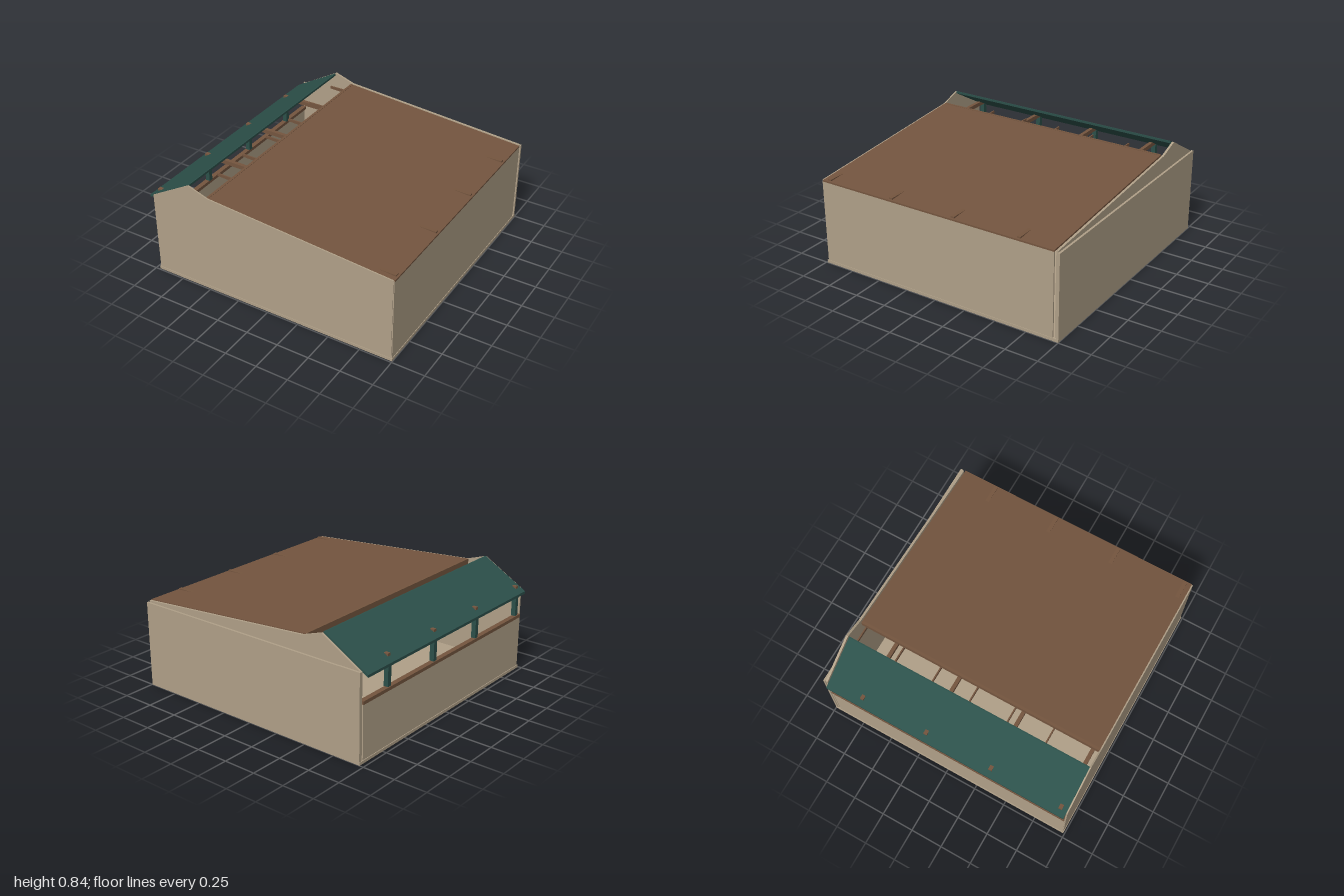
import * as THREE from 'three';

export function createModel() {
  const model = new THREE.Group();
  const paint = (name, color) => {
    const m = new THREE.MeshStandardMaterial({ color });
    m.name = name;
    return m;
  };
  const plaster = paint('plaster', 0xb0a088);
  const timber = paint('brown timber', 0x74553f);
  const teal = paint('teal paint', 0x2c504a);

  const add = (name, geometry, material) => {
    const mesh = new THREE.Mesh(geometry, material);
    mesh.name = name;
    model.add(mesh);
    return mesh;
  };
  // Box given by its lower and upper corner
  const box = (name, material, a, b) => {
    const mesh = add(name, new THREE.BoxGeometry(b[0] - a[0], b[1] - a[1], b[2] - a[2]), material);
    mesh.position.set((a[0] + b[0]) / 2, (a[1] + b[1]) / 2, (a[2] + b[2]) / 2);
  };
  // Cross-section in x and y, drawn out along z
  const slab = (name, material, points, z0, z1) => {
    const shape = new THREE.Shape(points.map(([x, y]) => new THREE.Vector2(x, y)));
    const g = new THREE.ExtrudeGeometry(shape, { depth: z1 - z0, bevelEnabled: false });
    g.translate(0, 0, z0);
    add(name, g, material);
  };

  // Floor and the low and high long walls
  box('floor', plaster, [-0.97, 0, -1], [0.998, 0.022, 0.99]);
  box('rightWall', plaster, [0.983, 0.02, -0.955], [0.994, 0.664, 0.982]);
  box('lowWall', plaster, [-0.965, 0.02, -0.96], [-0.95, 0.425, 0.982]);

  // Gable walls follow both roof slopes
  const gable = [[-0.962, 0.02], [0.987, 0.02], [0.987, 0.672], [-0.48, 0.787], [-0.64, 0.841], [-0.962, 0.655]];
  slab('frontGable', plaster, gable, 0.975, 0.986);
  slab('backGable', plaster, gable, -0.984, -0.967);
  box('backWall', plaster, [-0.967, 0.02, -1], [0.997, 0.66, -0.983]);

  // Long roof and short eave roof, leaving a gap at the ridge
  slab('mainRoof', timber, [[-0.49, 0.776], [0.995, 0.66], [0.995, 0.672], [-0.49, 0.789]], -0.957, 0.976);
  slab('eaveRoof', teal, [[-1, 0.62], [-0.636, 0.826], [-0.636, 0.843], [-0.645, 0.842], [-1, 0.64]], -0.957, 0.976);
  box('roofEdgeBeam', timber, [-0.492, 0.745, -0.955], [-0.472, 0.79, 0.97]);

  // Rail along the open side
  box('rail', timber, [-0.972, 0.425, -0.965], [-0.935, 0.45, 0.975]);

  // Posts with tie beams whose ends break through the roofs
  for (const z of [-0.68, -0.155, 0.37, 0.925]) {
    box('post', teal, [-0.965, 0.45, z - 0.017], [-0.93, 0.652, z + 0.017]);
    box('tieBeam', timber, [-0.957, 0.652, z - 0.014], [0.981, 0.684, z + 0.014]);
  }

  // Thin rafters under the long roof
  for (const z of [-0.922, -0.605, -0.297, 0.007, 0.313, 0.622]) {
    slab('rafter', timber, [[-0.66, 0.72], [0.98, 0.635], [0.98, 0.655], [-0.47, 0.74], [-0.66, 0.74]], z - 0.005, z + 0.005);
  }
  return model;
}
